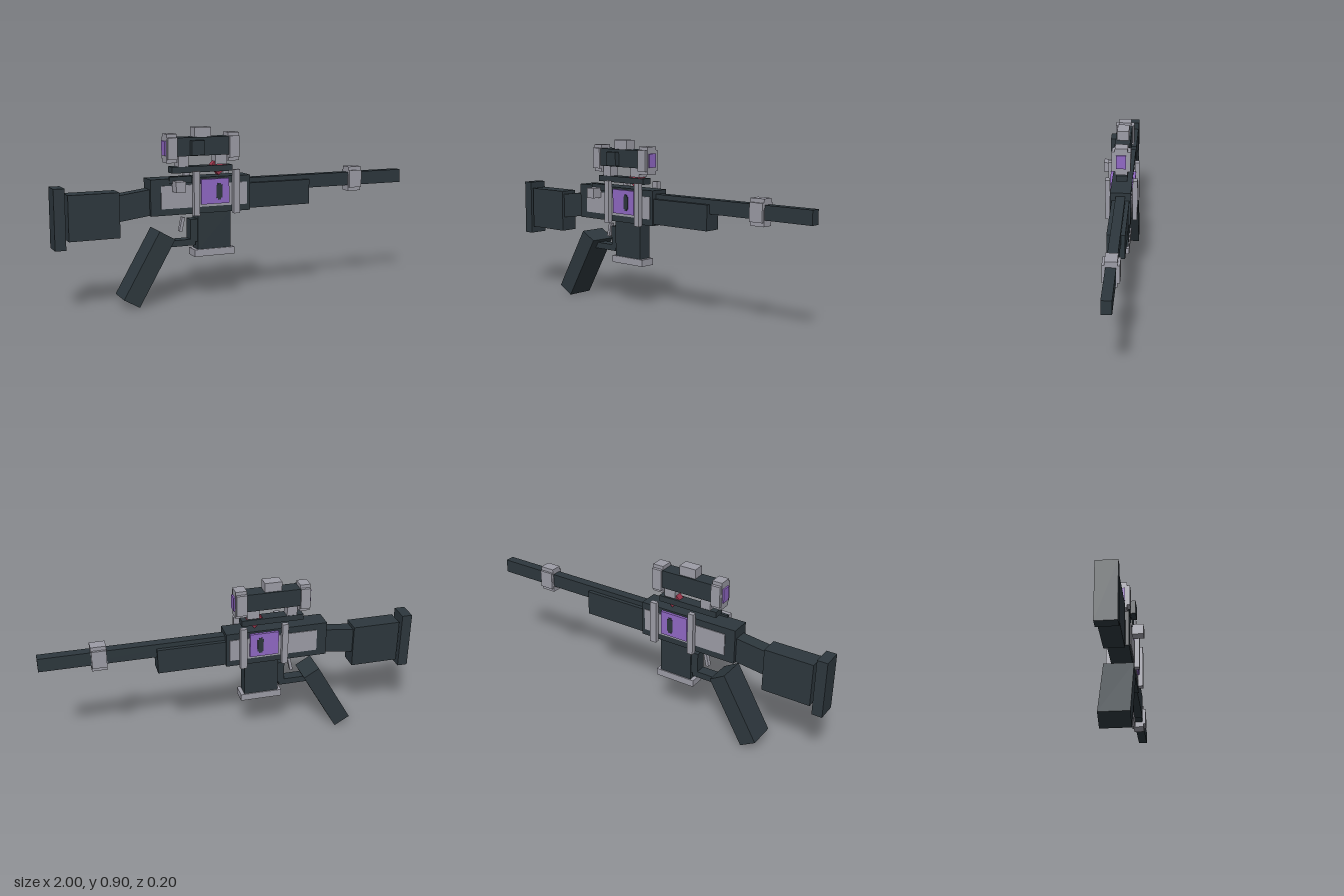
import * as THREE from 'three';

const mat = (name, hex) => {
  const m = new THREE.MeshStandardMaterial({ color: hex });
  m.name = name;
  return m;
};

export function createModel() {
  const dark = mat('gunmetal', 0x2d373d);
  const silver = mat('silver', 0x9c9ca6);
  const purple = mat('purple', 0x9068c4);
  const red = mat('red', 0x99344a);

  const model = new THREE.Group();
  model.name = 'blockRifle';
  const MID = -0.015; // centre plane of the body

  // Box given by its limits on each axis
  const block = (name, m, x0, x1, y0, y1, z0, z1) => {
    const mesh = new THREE.Mesh(new THREE.BoxGeometry(x1 - x0, y1 - y0, z1 - z0), m);
    mesh.position.set((x0 + x1) / 2, (y0 + y1) / 2, (z0 + z1) / 2);
    mesh.name = name;
    model.add(mesh);
    return mesh;
  };
  // Box centred on the body plane, with a half depth
  const mid = (name, m, x0, x1, y0, y1, half) =>
    block(name, m, x0, x1, y0, y1, MID - half, MID + half);
  // Box tilted in the side plane
  const tilted = (name, m, x, y, w, h, half, angle) => {
    const mesh = mid(name, m, x - w / 2, x + w / 2, y - h / 2, y + h / 2, half);
    mesh.rotation.z = angle;
    return mesh;
  };

  // Stock
  mid('buttPlate', dark, -1, -0.945, 0.33, 0.635, 0.053);
  mid('stock', dark, -0.93, -0.67, 0.37, 0.6, 0.05);
  tilted('stockNeck', dark, -0.585, 0.527, 0.19, 0.132, 0.036, 0.13);

  // Receiver and barrel
  mid('receiver', dark, -0.51, 0.04, 0.468, 0.655, 0.054);
  mid('handguard', dark, 0.04, 0.4, 0.477, 0.61, 0.046);
  mid('barrel', dark, 0.03, 1, 0.562, 0.635, 0.025);
  mid('barrelBandWide', silver, 0.657, 0.733, 0.55, 0.645, 0.042);
  mid('barrelBandTall', silver, 0.655, 0.735, 0.53, 0.665, 0.03);

  // Side details, mirrored on both faces
  for (const s of [1, -1]) {
    const side = (name, m, x0, x1, y0, y1, d0, d1) =>
      block(name, m, x0, x1, y0, y1, Math.min(MID + s * d0, MID + s * d1), Math.max(MID + s * d0, MID + s * d1));
    side('sidePlate', silver, -0.455, 0.022, 0.502, 0.62, 0.053, 0.058);
    side('energyPanel', purple, -0.24, -0.085, 0.515, 0.645, 0.053, 0.068);
    side('panelSlot', dark, -0.157, -0.125, 0.545, 0.612, 0.067, 0.071);
    side('panelSlotEnds', dark, -0.15, -0.132, 0.535, 0.622, 0.067, 0.071);
    side('rearStrap', silver, -0.287, -0.255, 0.46, 0.69, 0.06, 0.085);
    side('frontStrap', silver, -0.065, -0.03, 0.46, 0.69, 0.06, 0.085);
  }
  block('boltKnob', silver, -0.395, -0.343, 0.59, 0.645, 0.035, 0.1);
  block('portCover', dark, -0.41, -0.29, 0.63, 0.665, 0.03, 0.046);

  // Magazine, trigger and grip
  mid('magazine', dark, -0.25, -0.065, 0.27, 0.47, 0.037);
  mid('magazineBase', silver, -0.27, -0.045, 0.237, 0.274, 0.043);
  mid('guardPost', dark, -0.288, -0.25, 0.315, 0.435, 0.03);
  mid('triggerGuard', dark, -0.43, -0.26, 0.297, 0.33, 0.03);
  tilted('trigger', silver, -0.327, 0.408, 0.016, 0.076, 0.012, -0.22);
  tilted('grip', dark, -0.527, 0.2, 0.095, 0.39, 0.075, -Math.PI / 6);

  // Scope rail and mounts
  mid('scopeRail', dark, -0.385, -0.05, 0.678, 0.71, 0.03);
  tilted('redLatch', red, -0.122, 0.705, 0.068, 0.068, 0.019, Math.PI / 4);
  mid('rearMount', silver, -0.35, -0.295, 0.71, 0.775, 0.028);
  mid('frontMount', silver, -0.145, -0.08, 0.715, 0.775, 0.028);

  // Scope
  mid('scopeTube', dark, -0.37, -0.06, 0.765, 0.86, 0.04);
  for (const [x0, x1] of [[-0.415, -0.36], [-0.075, -0.015]]) {
    mid('scopeRingWide', silver, x0 + 0.002, x1 - 0.002, 0.75, 0.862, 0.049);
    mid('scopeRingTall', silver, x0, x1, 0.732, 0.88, 0.033);
  }
  mid('rearLens', purple, -0.423, -0.414, 0.77, 0.844, 0.025);
  mid('frontLens', purple, -0.016, -0.007, 0.77, 0.844, 0.025);
  mid('topTurret', silver, -0.262, -0.17, 0.855, 0.91, 0.031);
  block('sideTurret', dark, -0.29, -0.22, 0.77, 0.845, 0.02, 0.052);

  return model;
}
